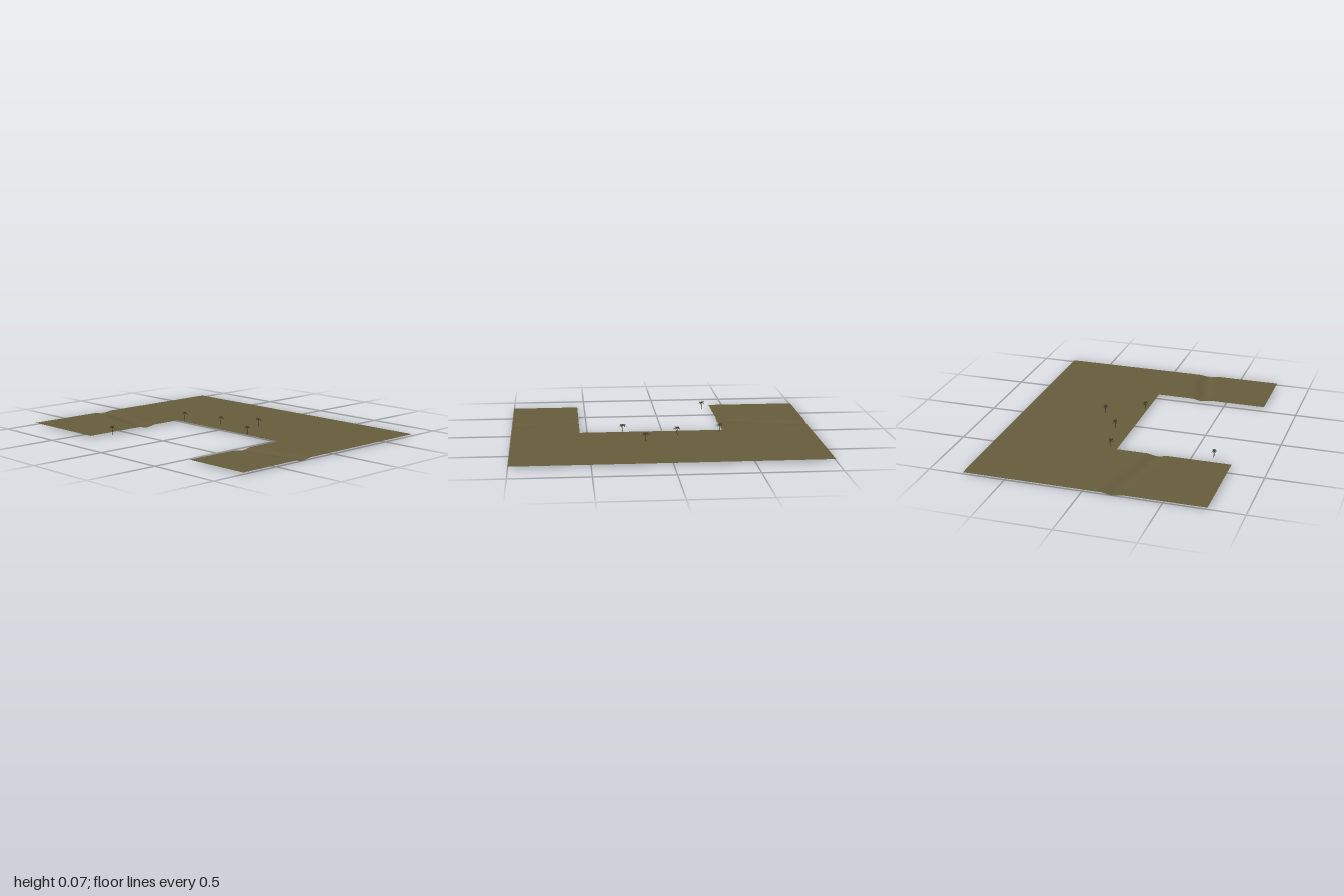
import * as THREE from 'three';
import { mergeGeometries } from 'three/addons/utils/BufferGeometryUtils.js';

const GROUND_Y = 0.011;

// Flat sheet with an optional shallow ditch following z = centre(x)
function sheet(x0, x1, z0, z1, centre) {
  const g = new THREE.PlaneGeometry(x1 - x0, z1 - z0, centre ? 16 : 1, centre ? 60 : 1);
  g.rotateX(-Math.PI / 2);
  g.translate((x0 + x1) / 2, GROUND_Y, (z0 + z1) / 2);
  if (centre) {
    const p = g.attributes.position;
    for (let i = 0; i < p.count; i++) {
      const d = Math.min(1, Math.abs(p.getZ(i) - centre(p.getX(i))) / 0.075);
      p.setY(i, GROUND_Y * (1 - 0.5 * (1 + Math.cos(Math.PI * d))));
    }
    g.computeVertexNormals();
  }
  return g;
}

// One arching palm leaf, pointing along +x from the crown centre
function frond(length, rise, droop) {
  const g = new THREE.PlaneGeometry(1, 1, 5, 2);
  g.rotateX(-Math.PI / 2);
  const p = g.attributes.position;
  for (let i = 0; i < p.count; i++) {
    const t = p.getX(i) + 0.5;
    const side = p.getZ(i) * 2;
    const half = 0.0008 + 0.0034 * Math.sin(Math.PI * Math.min(1, t * 0.95));
    p.setXYZ(i, t * length, rise * t - droop * t * t - Math.abs(side) * half * 0.5, side * half);
  }
  g.computeVertexNormals();
  return g;
}

export function createModel() {
  const model = new THREE.Group();
  const earth = new THREE.MeshStandardMaterial({ color: 0x665c3c, side: THREE.DoubleSide });
  earth.name = 'dry earth';
  const bark = new THREE.MeshStandardMaterial({ color: 0x3a3022 });
  bark.name = 'dark bark';
  const leaf = new THREE.MeshStandardMaterial({ color: 0x3b3826, side: THREE.DoubleSide });
  leaf.name = 'dark leaf';

  const add = (parent, name, geometry, material) => {
    const mesh = new THREE.Mesh(geometry, material);
    mesh.name = name;
    parent.add(mesh);
    return mesh;
  };

  // U-shaped ground, with a ditch across both arms
  const s = THREE.MathUtils.smoothstep;
  add(model, 'backGround', sheet(-1, 1, -0.775, 0.02), earth);
  add(model, 'rightGround', sheet(-1, -0.4, 0.02, 0.77, x => 0.19 + 0.1 * s(x, -0.95, -0.4)), earth);
  add(model, 'leftGround', sheet(0.55, 1, 0.02, 0.77, x => 0.33 - 0.06 * s(x, 0.6, 0.9)), earth);

  // Shared palm geometry: slim trunk and two rings of leaves
  const trunkPath = new THREE.CatmullRomCurve3([
    new THREE.Vector3(0, 0, 0),
    new THREE.Vector3(0.0008, 0.022, 0),
    new THREE.Vector3(0, 0.046, 0),
  ]);
  const trunk = new THREE.TubeGeometry(trunkPath, 6, 0.0018, 6);
  const leaves = [];
  for (let i = 0; i < 12; i++) {
    const upper = i % 2;
    const f = frond(upper ? 0.021 : 0.026, upper ? 0.032 : 0.02, upper ? 0.026 : 0.027);
    f.rotateY((i / 12) * Math.PI * 2 + 0.15);
    leaves.push(f);
  }
  const crown = mergeGeometries(leaves);
  crown.scale(1, 1, 0.62);
  crown.rotateY(-0.12);
  crown.translate(0, 0.046, 0);

  // Palms scattered around the inner edge
  const spots = [[-0.375, -0.028], [-0.087, -0.095], [0.13, -0.235], [0.265, 0.007], [-0.335, 0.64]];
  for (const [x, z] of spots) {
    const palm = new THREE.Group();
    palm.name = 'palm';
    add(palm, 'trunk', trunk, bark);
    add(palm, 'crown', crown, leaf);
    palm.position.set(x, GROUND_Y, z);
    model.add(palm);
  }
  return model;
}
